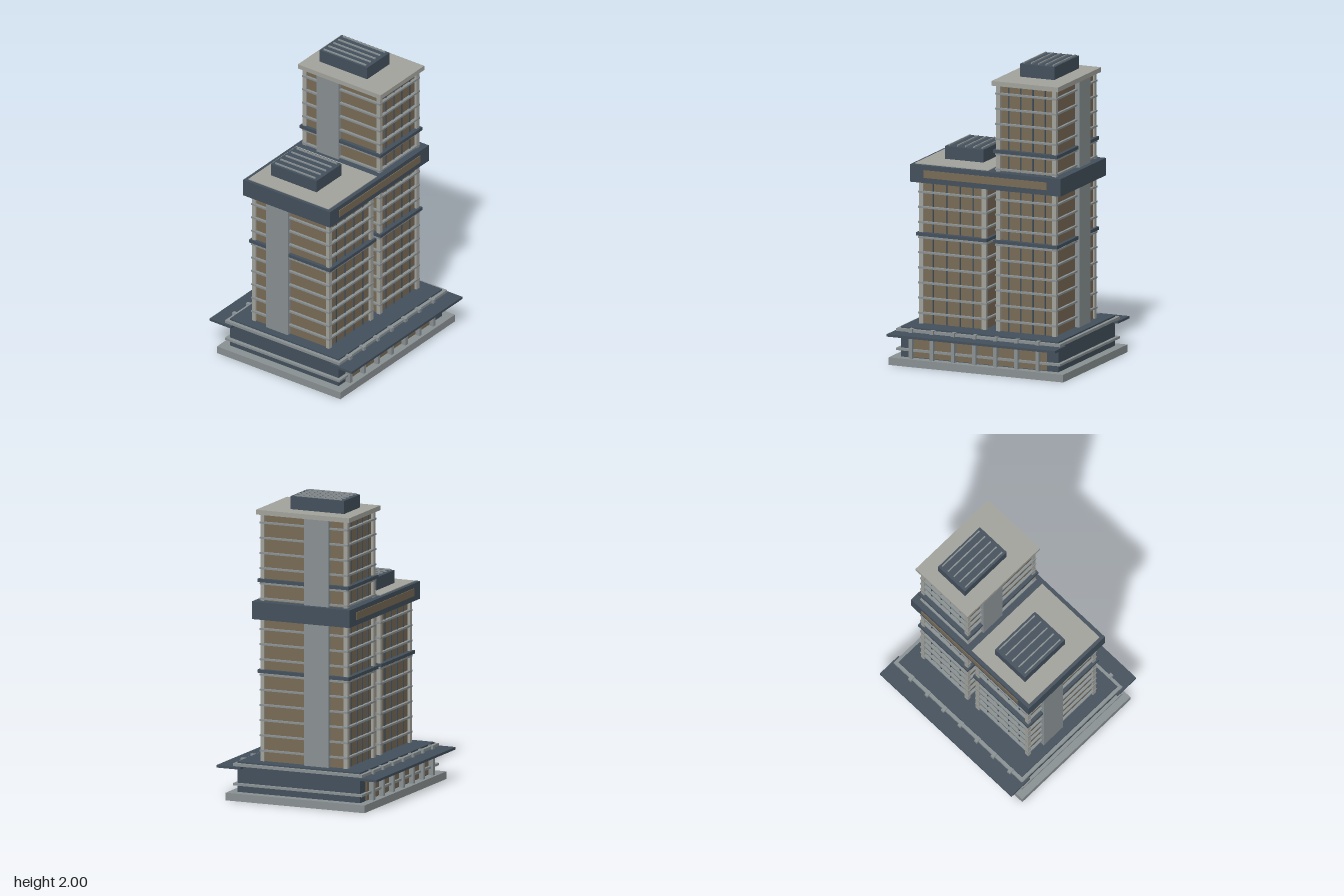
import * as THREE from 'three';

const mat = (color) => new THREE.MeshStandardMaterial({ color });
const slate = mat(0x43505c), stone = mat(0xa3a39d), metal = mat(0x8a9193), bronze = mat(0x786a56);

// Box given by its extents on each axis
function box(parent, name, material, [x0, x1], [y0, y1], [z0, z1]) {
  const mesh = new THREE.Mesh(new THREE.BoxGeometry(x1 - x0, y1 - y0, z1 - z0), material);
  mesh.position.set((x0 + x1) / 2, (y0 + y1) / 2, (z0 + z1) / 2);
  mesh.name = name;
  parent.add(mesh);
  return mesh;
}

function group(parent, name) {
  const g = new THREE.Group();
  g.name = name;
  parent.add(g);
  return g;
}

// Range from a to b, mirrored to the back when s is -1
const side = (s, a, b) => (s > 0 ? [a, b] : [-b, -a]);

function buildPodium(root) {
  const g = group(root, 'podium');
  box(g, 'basePlinth', metal, [-0.62, 0.62], [0, 0.05], [-0.495, 0.495]);
  box(g, 'podiumBody', slate, [-0.56, 0.56], [0.05, 0.25], [-0.437, 0.437]);
  box(g, 'lowerRail', metal, [-0.583, 0.583], [0.095, 0.11], [-0.46, 0.46]);
  box(g, 'upperRail', metal, [-0.583, 0.583], [0.222, 0.24], [-0.46, 0.46]);
  for (const s of [1, -1]) {
    box(g, 'shopGlazing', bronze, [-0.48, 0.48], [0.055, 0.2], side(s, 0.43, 0.443));
    box(g, 'canopy', slate, [-0.598, 0.598], [0.205, 0.221], side(s, 0.4, 0.572));
    for (let i = 0; i < 7; i++) {
      const x = -0.475 + i * 0.15;
      box(g, 'podiumPillar', metal, [x - 0.012, x + 0.012], [0.05, 0.247], side(s, 0.43, 0.475));
    }
  }
}

// x0, x1: outer faces of the service core; belts: heights of the dark belts
function buildTower(root, name, x0, x1, top, belts) {
  const g = group(root, name);
  const a = x0 + 0.017, b = x1 - 0.017, y0 = 0.25;
  box(g, 'glassBody', bronze, [a + 0.012, b - 0.012], [y0, top], [-0.292, 0.292]);
  box(g, 'serviceCore', metal, [x0, x1], [y0, top], [-0.185, -0.01]);

  // Corner posts and mullions
  for (const s of [1, -1]) {
    box(g, 'cornerPost', stone, [a, a + 0.03], [y0, top], side(s, 0.284, 0.31));
    box(g, 'cornerPost', stone, [b - 0.03, b], [y0, top], side(s, 0.284, 0.31));
    for (let i = 1; i < 5; i++) {
      const x = a + (b - a) * i / 5;
      box(g, 'mullion', slate, [x - 0.004, x + 0.004], [y0, top], side(s, 0.285, 0.298));
    }
  }

  // Floor edges and darker belts
  for (let y = 0.32; y < top - 0.03; y += 0.1)
    box(g, 'floorEdge', metal, [a - 0.005, b + 0.005], [y - 0.006, y + 0.006], [-0.313, 0.313]);
  for (const y of belts)
    box(g, 'belt', slate, [x0 + 0.005, x1 - 0.005], [y - 0.011, y + 0.011], [-0.325, 0.325]);
}

// Rooftop plant box with raised louvre ribs
function buildPlant(root, name, [x0, x1], y, [z0, z1]) {
  const g = group(root, name);
  box(g, 'plantHousing', slate, [x0, x1], [y, y + 0.085], [z0, z1]);
  const step = (x1 - x0) * 0.213, mid = (x0 + x1) / 2;
  for (let i = -2; i <= 2; i++) {
    const x = mid + i * step;
    box(g, 'plantRib', metal, [x - 0.004, x + 0.004], [y + 0.08, y + 0.094], [z0 + 0.02, z1 - 0.023]);
  }
}

export function createModel() {
  const root = new THREE.Group();
  root.name = 'twinTowerBuilding';
  buildPodium(root);
  buildTower(root, 'lowTower', -0.508, 0.003, 1.2, [0.843]);
  buildTower(root, 'tallTower', 0.04, 0.502, 1.88, [0.843, 1.44]);

  // Sky band tying the two towers together
  const band = group(root, 'skyBand');
  box(band, 'bandBody', slate, [-0.534, 0.534], [1.19, 1.306], [-0.349, 0.349]);
  for (const s of [1, -1])
    box(band, 'bandWindow', bronze, [-0.438, 0.438], [1.225, 1.275], side(s, 0.34, 0.354));

  // Roofs
  box(root, 'lowRoof', stone, [-0.513, 0.009], [1.28, 1.311], [-0.324, 0.322]);
  box(root, 'tallRoof', stone, [0.037, 0.508], [1.875, 1.906], [-0.334, 0.332]);
  buildPlant(root, 'lowRoofPlant', [-0.388, -0.115], 1.31, [-0.236, 0.131]);
  buildPlant(root, 'tallRoofPlant', [0.15, 0.393], 1.906, [-0.243, 0.139]);
  return root;
}
